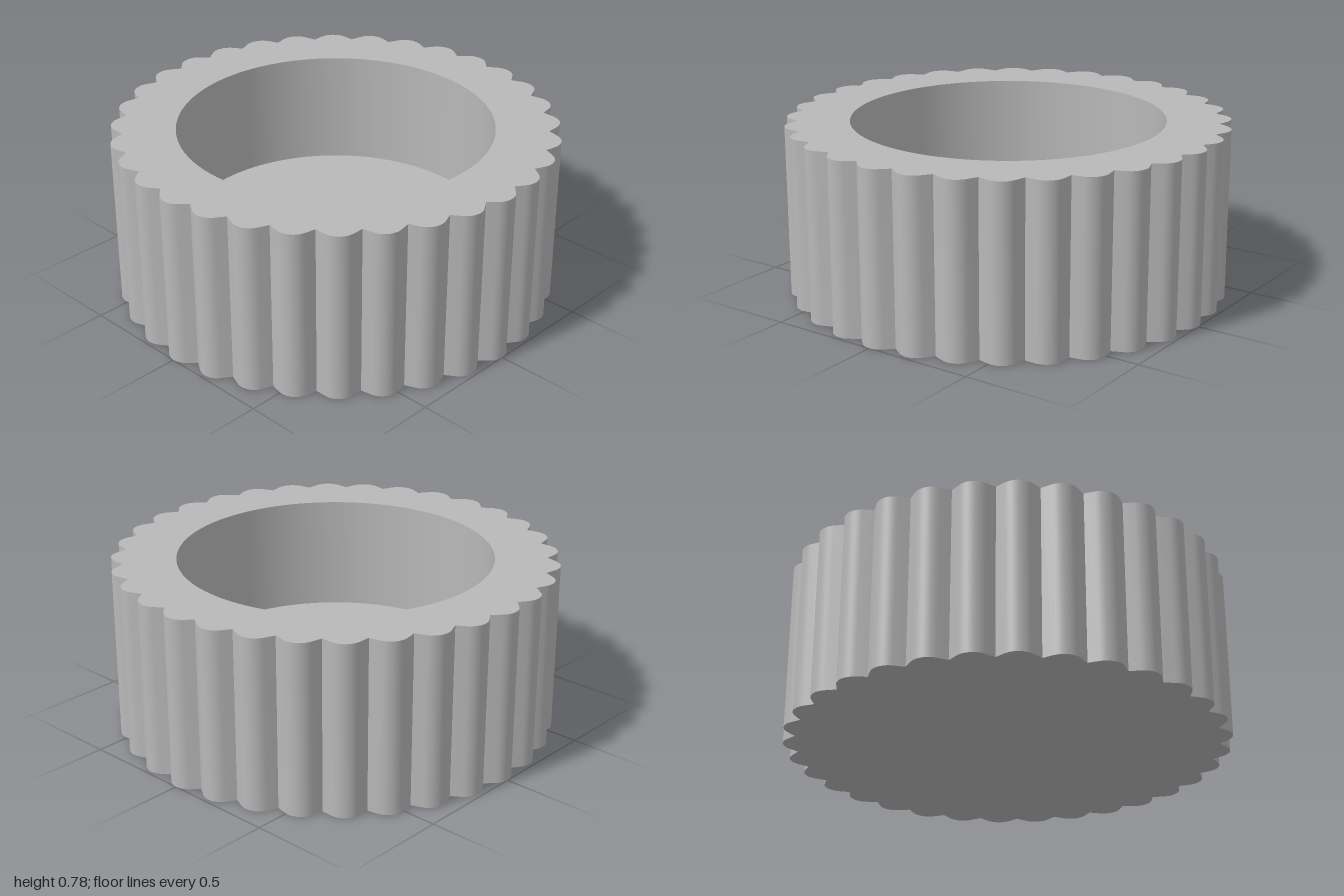
import * as THREE from 'three';
import { toCreasedNormals } from 'three/addons/utils/BufferGeometryUtils.js';

const LOBES = 32;
const HEIGHT = 0.78;
const BORE = 0.71;
const FLOOR = 0.25;
const BORE_SEGMENTS = 128;

// Scalloped outline: each lobe is a round nose with straight 45 degree flanks
function scallopedOutline() {
  const nose = 0.08, steps = 10, points = [];
  const valleyRadius = 0.945, half = Math.PI / LOBES;
  for (let i = 0; i < LOBES; i++) {
    const turn = i * 2 * half;
    const centre = new THREE.Vector2();
    points.push(new THREE.Vector2(valleyRadius * Math.cos(turn - half), valleyRadius * Math.sin(turn - half)));
    for (let j = 0; j <= steps; j++) {
      const a = (j / steps - 0.5) * Math.PI / 2;
      const p = new THREE.Vector2(1 - nose + nose * Math.cos(a), nose * Math.sin(a));
      points.push(p.rotateAround(centre, turn));
    }
  }
  return points;
}

export function createModel() {
  const model = new THREE.Group();
  model.name = 'scallopedCup';
  const grey = new THREE.MeshStandardMaterial({ color: 0xb8b8b8 });
  grey.name = 'grey';

  const add = (name, geometry) => {
    const mesh = new THREE.Mesh(geometry, grey);
    mesh.name = name;
    model.add(mesh);
    return mesh;
  };

  // Fluted wall with a round bore
  const shape = new THREE.Shape(scallopedOutline());
  const bore = [];
  for (let i = 0; i < BORE_SEGMENTS; i++) {
    const a = -i / BORE_SEGMENTS * Math.PI * 2;
    bore.push(new THREE.Vector2(BORE * Math.cos(a), BORE * Math.sin(a)));
  }
  shape.holes.push(new THREE.Path(bore));
  const wall = new THREE.ExtrudeGeometry(shape, { depth: HEIGHT, bevelEnabled: false });
  wall.rotateX(-Math.PI / 2);
  add('flutedWall', toCreasedNormals(wall, Math.PI / 6));

  // Raised floor inside the bore, and the closed underside
  const disc = new THREE.CircleGeometry(BORE, BORE_SEGMENTS);
  add('innerFloor', disc.clone().rotateX(-Math.PI / 2)).position.y = FLOOR;
  add('underside', disc.clone().rotateX(Math.PI / 2));

  return model;
}
